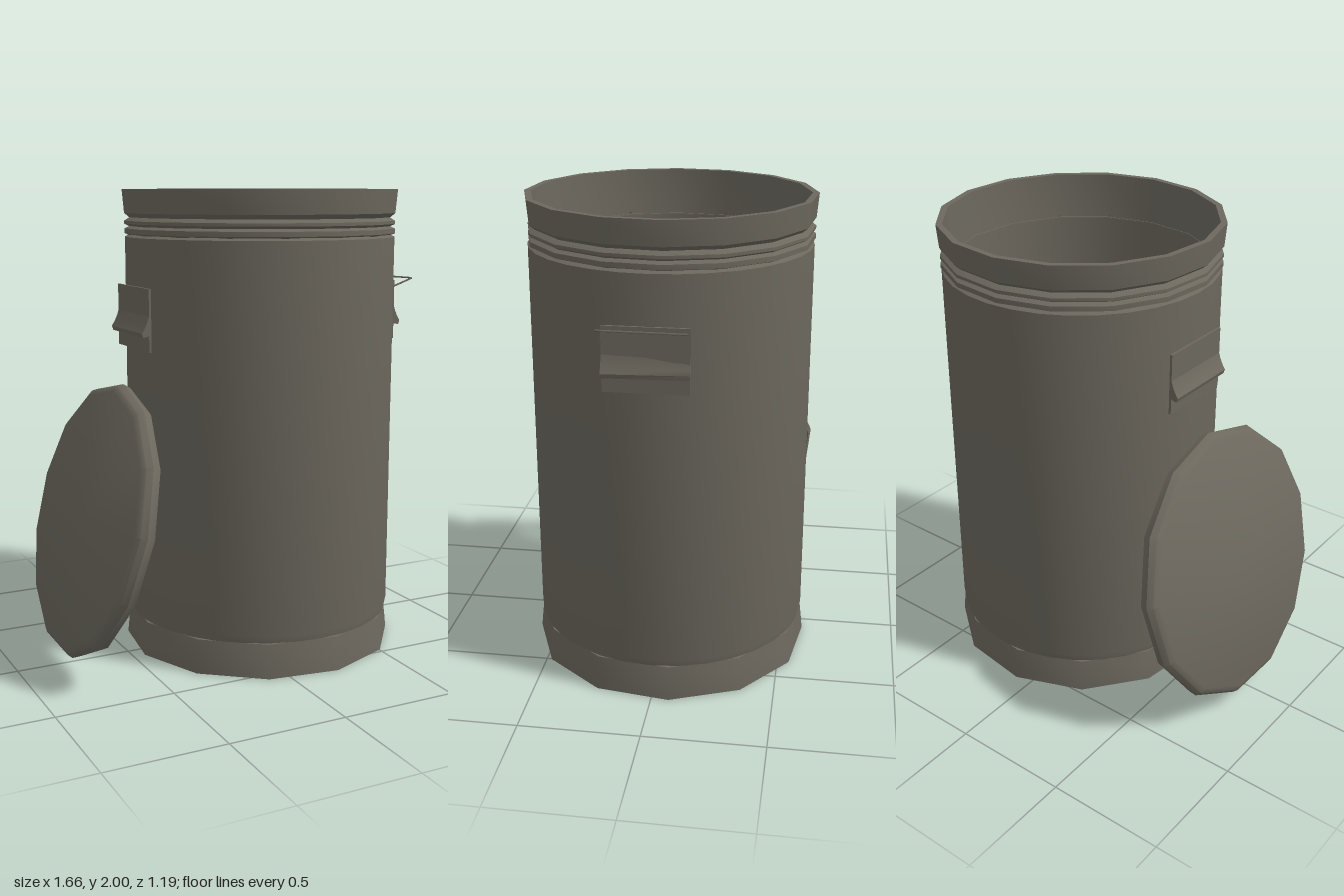
import * as THREE from 'three';
import { toCreasedNormals } from 'three/addons/utils/BufferGeometryUtils.js';

const metal = new THREE.MeshStandardMaterial({ color: 0x6c685e, side: THREE.DoubleSide });
metal.name = 'dull grey metal';

function add(parent, name, geometry) {
  const mesh = new THREE.Mesh(geometry, metal);
  mesh.name = name;
  parent.add(mesh);
  return mesh;
}

// Turned part from [radius, height] pairs, with crisp profile edges
function turned(points, sides, turn = 0) {
  const g = new THREE.LatheGeometry(points.map(([r, y]) => new THREE.Vector2(r, y)), sides);
  g.rotateY(turn);
  return toCreasedNormals(g, 0.6);
}

// Back plate with a curved grip below; built facing +x
function makeHandle(name, taper) {
  const handle = new THREE.Group();
  handle.name = name;
  const plate = add(handle, 'handlePlate', new THREE.BoxGeometry(0.01, 0.26, 0.34));
  plate.position.set(0.005, 1.47, 0.01);

  const profile = new THREE.Shape();
  profile.moveTo(0, 1.53);
  profile.quadraticCurveTo(0.012, 1.46, 0.042, 1.42);
  profile.lineTo(0.036, 1.402);
  profile.lineTo(0, 1.41);
  profile.closePath();
  const grip = new THREE.ExtrudeGeometry(profile, { depth: 0.34, bevelEnabled: false, curveSegments: 4 });
  grip.translate(0, 0, -0.16);
  // the grip gets deeper towards the front
  const p = grip.attributes.position;
  for (let i = 0; i < p.count; i++) {
    p.setX(i, p.getX(i) * (1 - taper * (0.18 - p.getZ(i)) / 0.34));
  }
  add(handle, 'handleGrip', toCreasedNormals(grip, 0.5));
  return handle;
}

export function createModel() {
  const model = new THREE.Group();
  model.name = 'binWithLid';

  const barrel = new THREE.Group();
  barrel.name = 'barrel';
  barrel.position.x = 0.145;
  model.add(barrel);

  // Faceted flared foot with a closed underside
  add(barrel, 'foot', turned([
    [0, 0], [0.598, 0], [0.592, 0.06], [0.582, 0.145], [0.54, 0.15],
  ], 12, 0.12));

  // Smooth outer wall
  add(barrel, 'wall', turned([
    [0.54, 0.148], [0.578, 0.15], [0.584, 0.18], [0.584, 1.8], [0.56, 1.812],
  ], 32));

  // Grooved collar, open mouth and inner wall
  add(barrel, 'collar', turned([
    [0.56, 1.805], [0.588, 1.815], [0.588, 1.835], [0.568, 1.845], [0.588, 1.855],
    [0.588, 1.868], [0.566, 1.882], [0.588, 1.9], [0.597, 2], [0.57, 2], [0.562, 1.8],
  ], 16, 0.09));
  add(barrel, 'innerWall', turned([[0.562, 1.8], [0.562, 0.05], [0, 0.05]], 32));

  // Handles on both sides
  const leftHandle = makeHandle('leftHandle', 0.5);
  leftHandle.position.x = 0.725;
  model.add(leftHandle);
  const rightHandle = makeHandle('rightHandle', 0);
  rightHandle.rotation.y = Math.PI;
  rightHandle.position.x = -0.437;
  model.add(rightHandle);

  // Bent thin wire standing off the left handle
  const wire = new THREE.CurvePath();
  const corners = [[0.72, 1.57, 0.18], [0.83, 1.608, 0.18], [0.815, 1.602, -0.16]]
    .map((c) => new THREE.Vector3(...c));
  for (let i = 0; i < 2; i++) wire.add(new THREE.LineCurve3(corners[i], corners[i + 1]));
  add(model, 'handleWire', new THREE.TubeGeometry(wire, 16, 0.004, 4));

  // Lid leaning beside the barrel, hollow side towards it
  const lid = add(model, 'lid', turned([
    [0, 0.005], [0.535, 0.005], [0.55, -0.035], [0.578, -0.035],
    [0.588, 0], [0.575, 0.025], [0.55, 0.04], [0, 0.04],
  ], 13, 0.1));
  lid.position.set(-0.655, 0.625, 0);
  lid.rotation.z = 1.315;

  return model;
}
